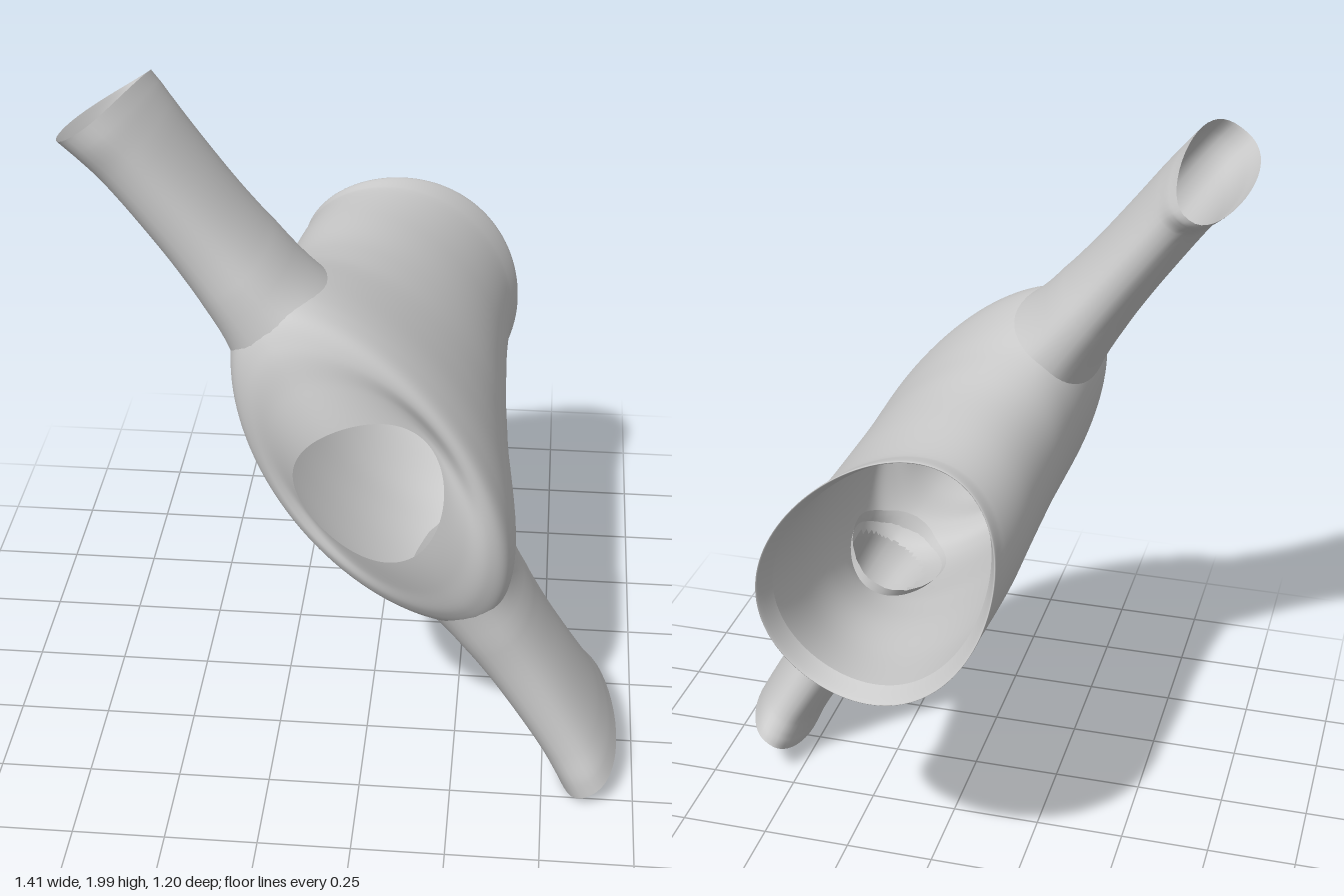
import * as THREE from 'three';

const material = new THREE.MeshStandardMaterial({ color: 0xcccccc, side: THREE.DoubleSide });
const { lerp, smoothstep } = THREE.MathUtils;

// Surface from closed rings: point(row, angle) gives a vertex, skip(centre) leaves a gap
function loft(name, rows, sides, point, { skip = () => false, flip = false } = {}) {
  const verts = [], index = [];
  for (let i = 0; i <= rows; i++)
    for (let j = 0; j < sides; j++) verts.push(point(i / rows, (j / sides) * Math.PI * 2));
  for (let i = 0; i < rows; i++)
    for (let j = 0; j < sides; j++) {
      const k = (j + 1) % sides;
      const a = i * sides + j, b = i * sides + k, c = a + sides, d = b + sides;
      const centre = verts[a].clone().add(verts[d]).multiplyScalar(0.5);
      if (skip(centre)) continue;
      if (flip) index.push(a, c, b, b, c, d);
      else index.push(a, b, c, b, d, c);
    }
  const geo = new THREE.BufferGeometry().setFromPoints(verts);
  geo.setIndex(index);
  geo.computeVertexNormals();
  const mesh = new THREE.Mesh(geo, material);
  mesh.name = name;
  return mesh;
}

const curve = (points) => new THREE.CatmullRomCurve3(points.map((p) => new THREE.Vector3(...p)));

// Body profile from turned-in hem to neck: half width, half depth, position along the body
const bodyCurve = curve([
  [0.335, 0.262, -0.48], [0.358, 0.288, -0.54], [0.36, 0.28, -0.46], [0.385, 0.273, -0.25],
  [0.41, 0.268, -0.05], [0.45, 0.265, 0.1], [0.51, 0.266, 0.25], [0.54, 0.266, 0.38],
  [0.54, 0.26, 0.45], [0.515, 0.25, 0.505], [0.44, 0.225, 0.543], [0.33, 0.2, 0.558],
  [0.205, 0.18, 0.575],
]);
const bodySamples = bodyCurve.getPoints(240);

// Half width of the body at a given depth and height
function bodyReach(n, z) {
  const p = bodySamples.find((q) => q.z >= z) ?? bodySamples[240];
  return p.x * Math.sqrt(Math.max(0.1, 1 - (n / p.y) ** 2));
}

function bodyPoint(t, angle) {
  const p = bodyCurve.getPoint(t);
  const c = Math.cos(angle), s = Math.sin(angle);
  const neck = smoothstep(t, 0.76, 1);
  const hem = 1 - smoothstep(t, 0.09, 0.25);
  // the section narrows towards the sleeves
  const pinch = Math.abs(s) ** (0.15 * smoothstep(p.z, 0, 0.25) * (1 - neck));
  // collar dips on both flat sides, hem is uneven
  const z = p.z + neck * (0.025 * c * c - (s > 0 ? 0.07 : 0.04) * s * s)
    + hem * (0.045 * c * c - 0.025 * c - 0.04 * s * s + 0.015 * s);
  return new THREE.Vector3(p.x * c, p.y * s * pinch + 0.025 * hem - 0.01 * neck, z);
}

// Sleeve sections: distance out, half thickness, half height of the opening
const sleeveCurve = curve([
  [0.48, 0.145, 0.215], [0.57, 0.118, 0.208], [0.7, 0.104, 0.203], [0.85, 0.098, 0.21],
  [1.0, 0.096, 0.228], [1.08, 0.097, 0.25], [1.13, 0.099, 0.262],
]);

function makeSleeve(name, side, offsetStart, offsetEnd, cuffZ) {
  const point = (t, angle) => {
    const p = sleeveCurve.getPoint(t);
    const c = Math.cos(angle), s = Math.sin(angle);
    const wide = Math.sign(c) * Math.abs(c) ** 0.85;
    const n = lerp(offsetStart, offsetEnd, t) + p.y * wide * (1 + 0.1 * s);
    const z = lerp(0.32, cuffZ, t) + p.z * s;
    // the first ring lies on the body, the cuff slants back towards the underarm
    const root = bodyReach(n, z) - 0.03;
    const cuff = smoothstep(t, 0.5, 1) * 0.09 * ((1 - s) / 2) ** 1.5;
    const out = lerp(root, p.x, Math.min(1, t / 0.2)) - cuff + 0.018 * t;
    return new THREE.Vector3(side * out, n, z);
  };
  return loft(name, 30, 40, point, { flip: side < 0 });
}

export function createModel() {
  const garment = new THREE.Group();
  garment.name = 'garment';

  // body tube, open at neck, hem and both armholes
  const inArmhole = (p) =>
    Math.abs(p.x) > 0.3 && ((p.y + 0.01) / 0.135) ** 2 + ((p.z - 0.315) / 0.21) ** 2 < 0.72;
  garment.add(loft('body', 90, 112, bodyPoint, { skip: inArmhole }));

  // sleeves
  garment.add(makeSleeve('lowerSleeve', 1, -0.015, -0.053, 0.275));
  garment.add(makeSleeve('upperSleeve', -1, -0.003, -0.057, 0.29));

  // the whole garment leans so the sleeves run diagonally
  garment.rotation.z = Math.atan2(-0.83, 0.55);
  garment.position.set(0.04, 1.03, 0);

  const model = new THREE.Group();
  model.name = 'sweater';
  model.add(garment);
  return model;
}
